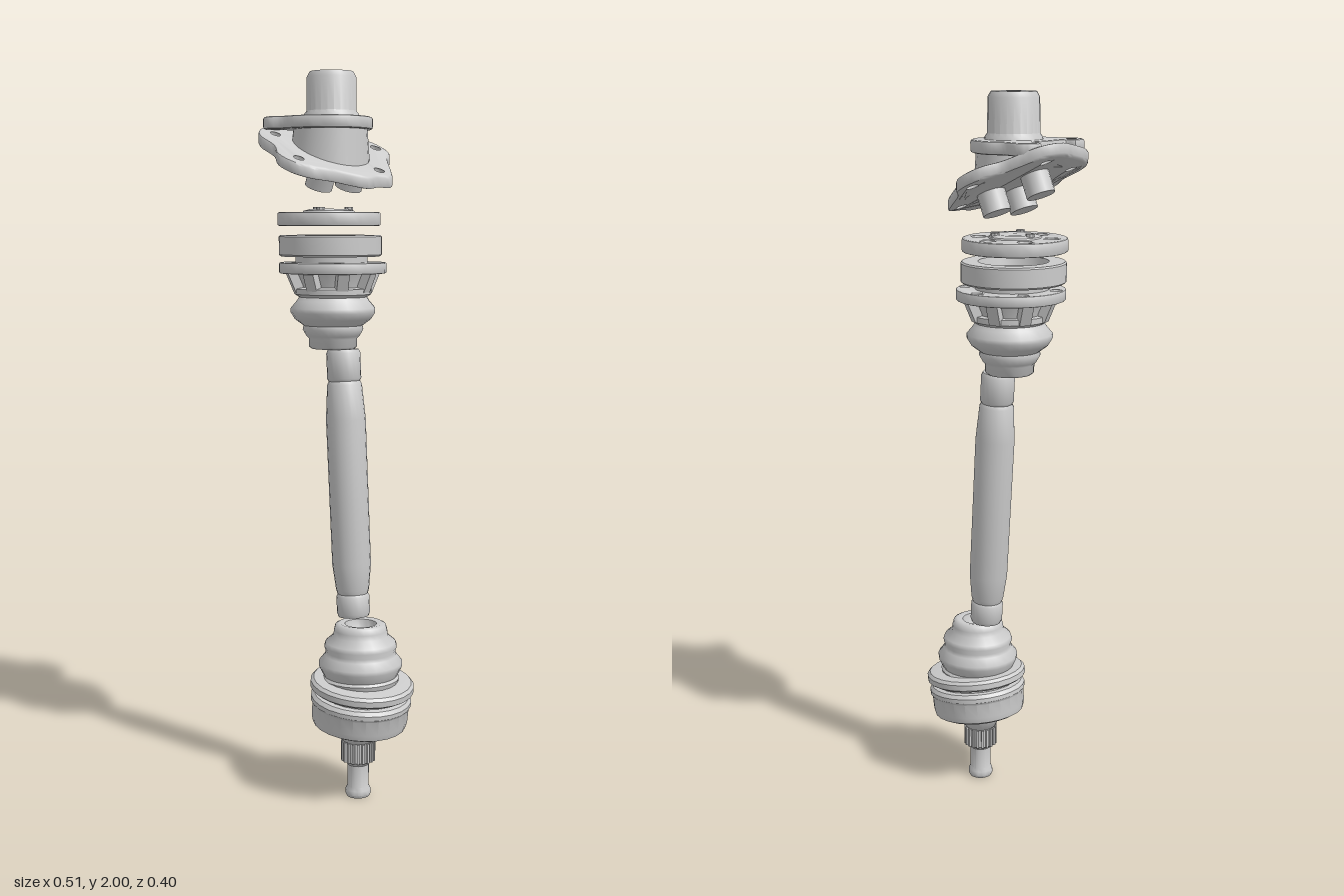
import * as THREE from 'three';
import { toCreasedNormals } from 'three/addons/utils/BufferGeometryUtils.js';

const material = new THREE.MeshStandardMaterial({ color: 0xcccccc, side: THREE.DoubleSide });

export function createModel() {
  const model = new THREE.Group();

  function add(name, geometry, x = 0, y = 0, z = 0, parent = model, crease = 0.6) {
    const mesh = new THREE.Mesh(toCreasedNormals(geometry, crease), material);
    mesh.name = name;
    mesh.position.set(x, y, z);
    parent.add(mesh);
    return mesh;
  }
  // Turned part from [radius, height] pairs, listed bottom to top
  const turned = (pairs, sides = 24) =>
    new THREE.LatheGeometry(pairs.map(([r, y]) => new THREE.Vector2(r, y)), sides);

  // Closed smooth outline from [x, z] pairs
  function outline(pairs) {
    const curve = new THREE.CatmullRomCurve3(pairs.map(([x, z]) => new THREE.Vector3(x, -z, 0)), true);
    return new THREE.Shape(curve.getPoints(pairs.length * 4).slice(0, -1).map(p => new THREE.Vector2(p.x, p.y)));
  }
  // Horizontal plate with round holes given as [x, z, radius]
  function plate(shape, holes, thickness, bevel = 0.007) {
    for (const [x, z, r] of holes) {
      shape.holes.push(new THREE.Path().absarc(x, -z, r + bevel, 0, Math.PI * 2, true));
    }
    return new THREE.ExtrudeGeometry(shape, {
      depth: thickness - bevel * 2, bevelEnabled: true, bevelThickness: bevel,
      bevelSize: bevel, bevelOffset: -bevel, bevelSegments: 2, curveSegments: 14,
    }).rotateX(-Math.PI / 2).translate(0, bevel, 0);
  }
  const disc = r => new THREE.Shape().absarc(0, 0, r, 0, Math.PI * 2);
  const ring = (count, radius, hole) => Array.from({ length: count }, (_, i) => {
    const a = (i + 0.5) / count * Math.PI * 2;
    return [Math.cos(a) * radius, Math.sin(a) * radius, hole];
  });

  // Slanted five-lobed mounting flange
  const slope = -0.46;
  const flangeBottom = x => 1.73 + slope * x;
  const flange = plate(outline([
    [-0.125, -0.185], [-0.085, -0.2], [-0.05, -0.195], [-0.015, -0.16], [0.065, -0.112],
    [0.1, -0.085], [0.1, -0.04], [0.11, 0], [0.07, 0.09], [0.05, 0.15], [0.02, 0.185],
    [-0.025, 0.198], [-0.08, 0.175], [-0.14, 0.18], [-0.185, 0.15], [-0.235, 0.04],
    [-0.254, -0.03], [-0.235, -0.085], [-0.19, -0.115], [-0.155, -0.138],
  ]), [[-0.08, -0.168, 0.015], [0.068, -0.068, 0.014], [0.003, 0.15, 0.014],
    [-0.15, 0.122, 0.014], [-0.212, -0.038, 0.014]], 0.035);
  const fp = flange.attributes.position;
  for (let i = 0; i < fp.count; i++) fp.setY(i, fp.getY(i) + flangeBottom(fp.getX(i)));
  add('mountingFlange', flange);

  // Housing between flange and collar, its lower rim cut to the slant
  const housing = new THREE.CylinderGeometry(0.1, 0.108, 0.12, 28, 1).translate(-0.062, 1.8, 0);
  const hp = housing.attributes.position;
  for (let i = 0; i < hp.count; i++) {
    if (hp.getY(i) < 1.8) hp.setY(i, Math.min(flangeBottom(hp.getX(i)) + 0.015, 1.85));
  }
  add('hubHousing', housing);

  // Collar with two horns reaching onto the flange
  add('hornedCollar', plate(outline([
    [-0.09, -0.124], [-0.04, -0.118], [0.01, -0.09], [0.04, -0.05], [0.052, 0], [0.04, 0.055],
    [0, 0.1], [-0.05, 0.128], [-0.1, 0.138], [-0.135, 0.16], [-0.175, 0.145], [-0.185, 0.1],
    [-0.16, 0.09], [-0.165, 0.05], [-0.172, 0], [-0.175, -0.045], [-0.22, -0.062],
    [-0.215, -0.095], [-0.185, -0.115], [-0.13, -0.108],
  ]), [[-0.15, 0.122, 0.014]], 0.034), 0, 1.845, 0);

  // Hub spindle with a dimple in its end
  add('hubSpindle', turned([[0.08, 1.86], [0.076, 1.885], [0.069, 1.895], [0.068, 1.985],
    [0.06, 2], [0.021, 2], [0.018, 1.985], [0, 1.98]]), -0.062, 0, -0.003);

  // Pegs under the flange, square to its slant
  for (const [x, z] of [[-0.135, 0], [-0.025, -0.05], [-0.025, 0.05]]) {
    const peg = add('flangePeg', new THREE.CylinderGeometry(0.038, 0.038, 0.07, 16),
      x - 0.01, flangeBottom(x) - 0.02, z);
    peg.rotation.z = Math.atan(slope);
  }

  // Drilled cover disc with a shallow raised centre
  add('coverDisc', plate(disc(0.142), ring(6, 0.1, 0.014), 0.037, 0.005), -0.05, 1.585, 0.015);
  add('coverCentre', turned([[0.075, 1.615], [0.07, 1.626], [0.05, 1.631], [0.02, 1.629], [0, 1.62]]), -0.05, 0, 0.015);
  for (const [x, z] of ring(3, 0.055)) {
    add('coverBolt', new THREE.CylinderGeometry(0.012, 0.012, 0.012, 8), x - 0.05, 1.63, z + 0.015);
  }

  // Upper joint: race, drilled flange and ribbed boot seat
  add('upperJointRace', turned([[0, 1.502], [0.136, 1.502], [0.142, 1.507], [0.142, 1.556],
    [0.138, 1.56], [0.095, 1.56], [0.09, 1.535], [0, 1.535]], 32), -0.05, 0, 0.01);
  add('upperJointCore', new THREE.CylinderGeometry(0.1, 0.1, 0.04, 24), -0.045, 1.49, 0.01);
  add('upperJointFlange', plate(disc(0.148), ring(6, 0.125, 0.011), 0.03, 0.004), -0.042, 1.456, 0.008);
  add('upperBootSeat', turned([[0.085, 1.4], [0.09, 1.425], [0.105, 1.46]]), -0.035, 0, 0.012);
  for (let i = 0; i < 8; i++) {
    const holder = new THREE.Group();
    holder.name = 'seatRib';
    holder.position.set(-0.035, 1.433, 0.012);
    holder.rotation.y = (i + 0.5) * Math.PI / 4;
    model.add(holder);
    add('ribBlock', new THREE.BoxGeometry(0.03, 0.06, 0.032), 0.103, 0, 0, holder).rotation.z = -0.4;
  }

  // Upper rubber boot, open at the shaft end
  add('upperBoot', turned([[0.045, 1.3], [0.045, 1.25], [0.06, 1.25], [0.067, 1.256], [0.067, 1.278],
    [0.074, 1.285], [0.084, 1.303], [0.082, 1.314], [0.106, 1.332], [0.117, 1.35], [0.117, 1.362],
    [0.1, 1.382], [0.094, 1.392], [0.106, 1.4], [0.106, 1.415], [0.08, 1.42], [0, 1.42]]), -0.031, 0, 0.015, model, 0.9);

  // Slightly leaning drive shaft with stepped hollow ends
  const shaft = add('driveShaft', turned([[0, -0.35], [0.03, -0.35], [0.032, -0.372], [0.042, -0.372],
    [0.046, -0.362], [0.046, -0.315], [0.042, -0.308], [0.046, -0.295], [0.054, -0.225], [0.055, 0.18],
    [0.048, 0.275], [0.043, 0.285], [0.047, 0.292], [0.047, 0.362], [0.042, 0.372], [0.032, 0.372],
    [0.03, 0.35], [0, 0.35]], 20), 0.03, 0.878, 0.007);
  shaft.rotation.z = 0.067;

  // Lower rubber boot, open at the top
  add('lowerBoot', turned([[0.1, 0.32], [0.108, 0.345], [0.102, 0.352], [0.115, 0.378], [0.116, 0.39],
    [0.1, 0.41], [0.096, 0.42], [0.101, 0.435], [0.097, 0.447], [0.076, 0.465], [0.074, 0.48],
    [0.07, 0.495], [0.06, 0.5], [0.044, 0.497], [0.04, 0.475], [0.028, 0.455], [0.024, 0.42], [0, 0.42]]),
  0.102, 0, 0.018, model, 0.9);

  // Lower joint bell, tilted as one piece
  const lowerJoint = new THREE.Group();
  lowerJoint.name = 'lowerJoint';
  lowerJoint.position.set(0.102, 0.265, 0.018);
  lowerJoint.rotation.z = -0.12;
  model.add(lowerJoint);
  add('lowerJointBell', turned([[0, -0.062], [0.07, -0.062], [0.115, -0.06], [0.13, -0.052],
    [0.134, -0.035], [0.135, 0.005], [0.14, 0.012], [0.14, 0.024], [0.132, 0.034], [0.118, 0.036],
    [0.118, 0.043], [0.134, 0.045], [0.144, 0.052], [0.144, 0.068], [0.136, 0.076], [0.11, 0.079],
    [0, 0.079]], 24), 0, 0, 0, lowerJoint);

  // Splined stub axle with a flared foot
  const sx = 0.094, sz = 0.02;
  add('stubAxle', turned([[0, 0.012], [0.02, 0.012], [0.024, 0], [0.032, 0], [0.036, 0.008],
    [0.035, 0.02], [0.03, 0.03], [0.03, 0.092], [0.036, 0.1], [0.042, 0.104], [0.042, 0.16],
    [0.046, 0.163], [0.058, 0.192], [0.066, 0.215], [0, 0.215]], 20), sx, 0, sz);
  for (let i = 0; i < 20; i++) {
    const a = i / 20 * Math.PI * 2;
    add('spline', new THREE.BoxGeometry(0.01, 0.056, 0.007),
      sx + Math.cos(a) * 0.043, 0.132, sz + Math.sin(a) * 0.043).rotation.y = -a;
  }

  return model;
}
